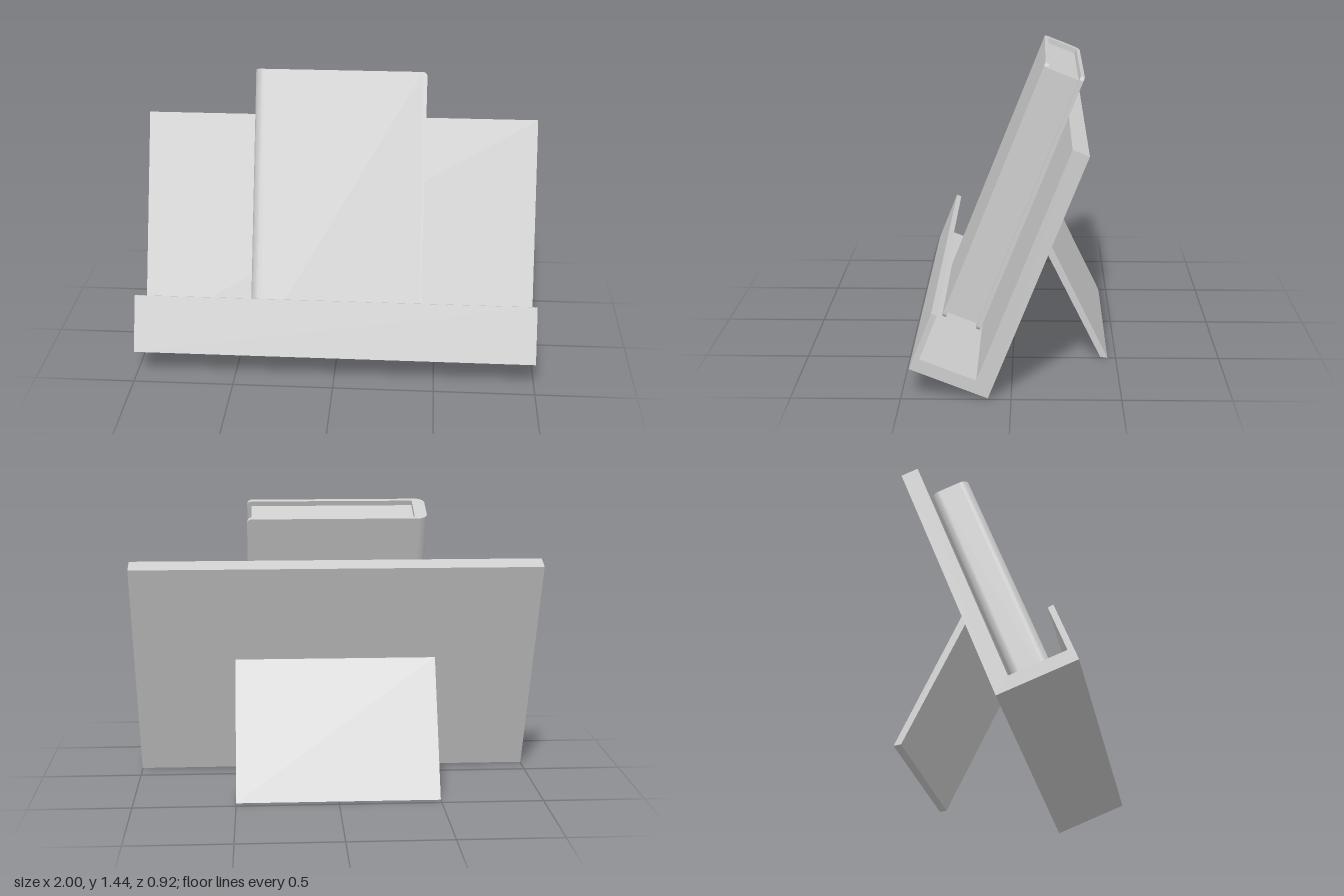
import * as THREE from 'three';

export function createModel() {
  const model = new THREE.Group();
  const grey = new THREE.MeshStandardMaterial({ color: 0xcccccc });
  grey.name = 'light grey';

  const add = (parent, name, geometry) => {
    const mesh = new THREE.Mesh(geometry, grey);
    mesh.name = name;
    parent.add(mesh);
    return mesh;
  };
  // Side profile given as [z, y] pairs, swept across the width in x
  const sweep = (points, width) => {
    const shape = new THREE.Shape(points.map(([z, y]) => new THREE.Vector2(z, y)));
    return new THREE.ExtrudeGeometry(shape, { depth: width, bevelEnabled: false })
      .translate(0, 0, -width / 2)
      .rotateY(-Math.PI / 2);
  };

  // Stand: leaning back panel, tray and front lip in one profile
  add(model, 'stand', sweep([
    [0.105, 0.005], [0.46, 0.145], [0.355, 0.41], [0.33, 0.398],
    [0.412, 0.192], [0.157, 0.092], [-0.265, 1.16], [-0.34, 1.13],
  ], 2));

  // Rear prop leg
  add(model, 'rearLeg', sweep([
    [-0.13, 0.6], [-0.425, 0.005], [-0.46, 0], [-0.147, 0.645],
  ], 1));

  // Book, upright in its own frame and tilted to match the stand
  const book = new THREE.Group();
  book.name = 'book';
  book.position.set(0, 0.145, 0.2575);
  book.rotation.x = -0.378;
  model.add(book);
  const H = 1.356, half = 0.099, board = 0.02;
  const left = -0.43, right = 0.43, hinge = -0.37;

  // Spine with rounded outer edges
  const r = 0.042;
  const spine = new THREE.Shape();
  spine.moveTo(hinge, -half);
  spine.lineTo(hinge, half);
  spine.lineTo(left + r, half);
  spine.absarc(left + r, half - r, r, Math.PI / 2, Math.PI, false);
  spine.lineTo(left, -half + r);
  spine.absarc(left + r, -half + r, r, Math.PI, Math.PI * 1.5, false);
  add(book, 'spine', new THREE.ExtrudeGeometry(spine, { depth: H, bevelEnabled: false, curveSegments: 4 })
    .rotateX(-Math.PI / 2));

  // Cover boards with rounded fore-edge corners
  const c = 0.022;
  const cover = new THREE.Shape();
  cover.moveTo(hinge, 0);
  cover.lineTo(right - c, 0);
  cover.absarc(right - c, c, c, -Math.PI / 2, 0, false);
  cover.lineTo(right, H - c);
  cover.absarc(right - c, H - c, c, 0, Math.PI / 2, false);
  cover.lineTo(hinge, H);
  for (const [name, z] of [['frontCover', half - board], ['backCover', -half]]) {
    add(book, name, new THREE.ExtrudeGeometry(cover, { depth: board, bevelEnabled: false, curveSegments: 4 }))
      .position.z = z;
  }

  // Page block, set in from the cover edges
  const pageRight = 0.41, inset = 0.025;
  add(book, 'pages', new THREE.BoxGeometry(pageRight - hinge, H - 2 * inset, 2 * (half - board)))
    .position.set((pageRight + hinge) / 2, H / 2, 0);

  return model;
}
